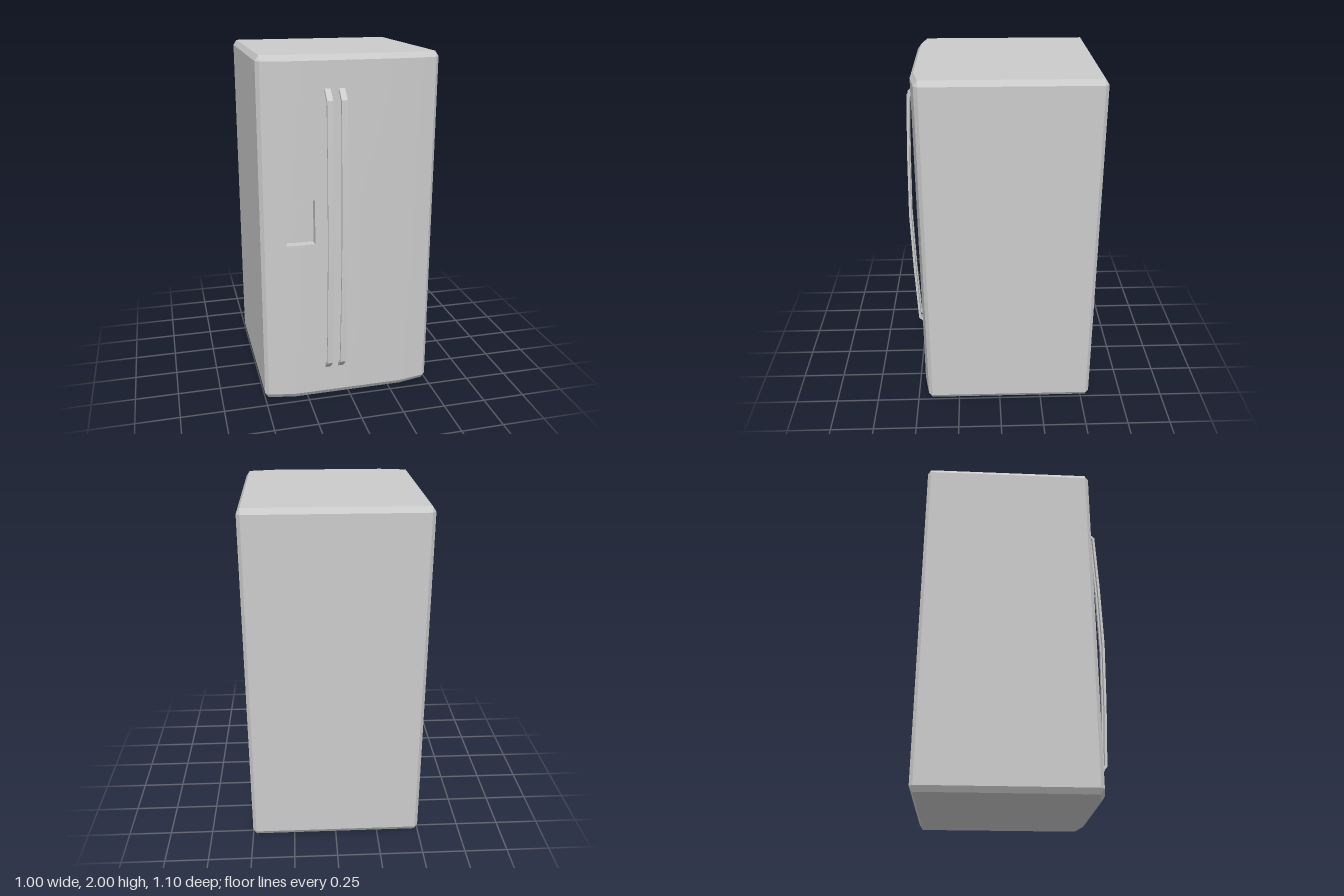
import * as THREE from 'three';
import { toCreasedNormals } from 'three/addons/utils/BufferGeometryUtils.js';

const material = new THREE.MeshStandardMaterial({ color: 0xcccccc });

// Collects quads (corners counter-clockwise from outside), skipping collapsed triangles
function surfaceBuilder() {
  const positions = [];
  const tri = (...pts) => {
    const [a, b, c] = pts.map((p) => new THREE.Vector3(...p));
    if (b.clone().sub(a).cross(c.clone().sub(a)).length() < 1e-9) return;
    for (const p of pts) positions.push(...p);
  };
  return {
    tri,
    quad(a, b, c, d) { tri(a, b, c); tri(a, c, d); },
    build() {
      const g = new THREE.BufferGeometry();
      g.setAttribute('position', new THREE.Float32BufferAttribute(positions, 3));
      return toCreasedNormals(g, 0.35);
    },
  };
}

// Depth of the bowed front at a given x
const frontZ = (x) => 0.465 - 0.028 * Math.max(0, (Math.abs(x) - 0.325) / 0.155);

// Chamfered cabinet with a bowed front, open where the front panel goes
function cabinetGeometry() {
  const outer = [
    [-0.325, 0.465], [0.325, 0.465], [0.48, 0.437], [0.5, 0.415], [0.5, -0.53],
    [0.48, -0.55], [-0.48, -0.55], [-0.5, -0.53], [-0.5, 0.415], [-0.48, 0.437],
  ];
  const inset = [
    [-0.325, 0.445], [0.325, 0.445], [0.48, 0.415], [0.48, 0.415], [0.48, -0.53],
    [0.48, -0.53], [-0.48, -0.53], [-0.48, -0.53], [-0.48, 0.415], [-0.48, 0.415],
  ];
  const s = surfaceBuilder();
  const ring = (pts, y) => pts.map(([x, z]) => [x, y, z]);
  const rings = [ring(inset, 0), ring(outer, 0.03), ring(outer, 1.97), ring(inset, 2)];
  const n = outer.length;
  for (let r = 0; r < 3; r++) {
    for (let i = 0; i < n; i++) {
      if (r === 1 && [0, 1, n - 1].includes(i)) continue;
      const j = (i + 1) % n;
      s.quad(rings[r][i], rings[r][j], rings[r + 1][j], rings[r + 1][i]);
    }
  }
  // top and bottom caps
  for (let i = 1; i < n - 1; i++) {
    s.tri(rings[3][0], rings[3][i], rings[3][i + 1]);
    s.tri(rings[0][0], rings[0][i + 1], rings[0][i]);
  }
  // front panel as a grid, with the dispenser cells left open
  const xs = [-0.48, -0.36, -0.325, -0.2, 0.325, 0.48];
  const ys = [0.03, 0.965, 1.22, 1.97];
  const p = (x, y) => [x, y, frontZ(x)];
  for (let i = 0; i < 5; i++) {
    for (let j = 0; j < 3; j++) {
      if (j === 1 && (i === 1 || i === 2)) continue;
      s.quad(p(xs[i], ys[j]), p(xs[i + 1], ys[j]), p(xs[i + 1], ys[j + 1]), p(xs[i], ys[j + 1]));
    }
  }
  return s.build();
}

// Shallow pocket following the bow of the front
function recessGeometry() {
  const s = surfaceBuilder();
  const xs = [-0.36, -0.325, -0.2], y0 = 0.965, y1 = 1.22, depth = 0.05;
  const f = (x, y) => [x, y, frontZ(x)];
  const b = (x, y) => [x, y, frontZ(x) - depth];
  for (let i = 0; i < 2; i++) {
    const l = xs[i], r = xs[i + 1];
    s.quad(b(l, y0), b(r, y0), b(r, y1), b(l, y1));
    s.quad(f(l, y0), f(r, y0), b(r, y0), b(l, y0));
    s.quad(b(l, y1), b(r, y1), f(r, y1), f(l, y1));
  }
  s.quad(f(xs[0], y0), b(xs[0], y0), b(xs[0], y1), f(xs[0], y1));
  s.quad(b(xs[2], y0), f(xs[2], y0), f(xs[2], y1), b(xs[2], y1));
  return s.build();
}

// Bowed bar handle: side profile (z, height from its middle) extruded across its width
function handleGeometry(width) {
  const mid = 1.005;
  const outer = [[0.46, 0.825], [0.522, 0.765], [0.538, 0.4], [0.548, 0]];
  const inner = [[0.46, 0.805], [0.508, 0.755], [0.524, 0.4], [0.534, 0]];
  const full = (half) => [...half, ...half.slice(0, -1).reverse().map(([z, y]) => [z, -y])];
  const profile = [...full(outer), ...full(inner).reverse()];
  const shape = new THREE.Shape(profile.map(([z, y]) => new THREE.Vector2(z, y + mid)));
  const g = new THREE.ExtrudeGeometry(shape, { depth: width, bevelEnabled: false });
  g.rotateY(-Math.PI / 2);
  g.translate(width / 2, 0, 0);
  return toCreasedNormals(g, 0.35);
}

export function createModel() {
  const model = new THREE.Group();
  model.name = 'refrigerator';
  const add = (name, geometry, x = 0) => {
    const mesh = new THREE.Mesh(geometry, material);
    mesh.name = name;
    mesh.position.x = x;
    model.add(mesh);
  };
  add('cabinet', cabinetGeometry());
  add('dispenserRecess', recessGeometry());
  const handle = handleGeometry(0.032);
  add('rightDoorHandle', handle, -0.129);
  add('leftDoorHandle', handle, -0.051);
  return model;
}
